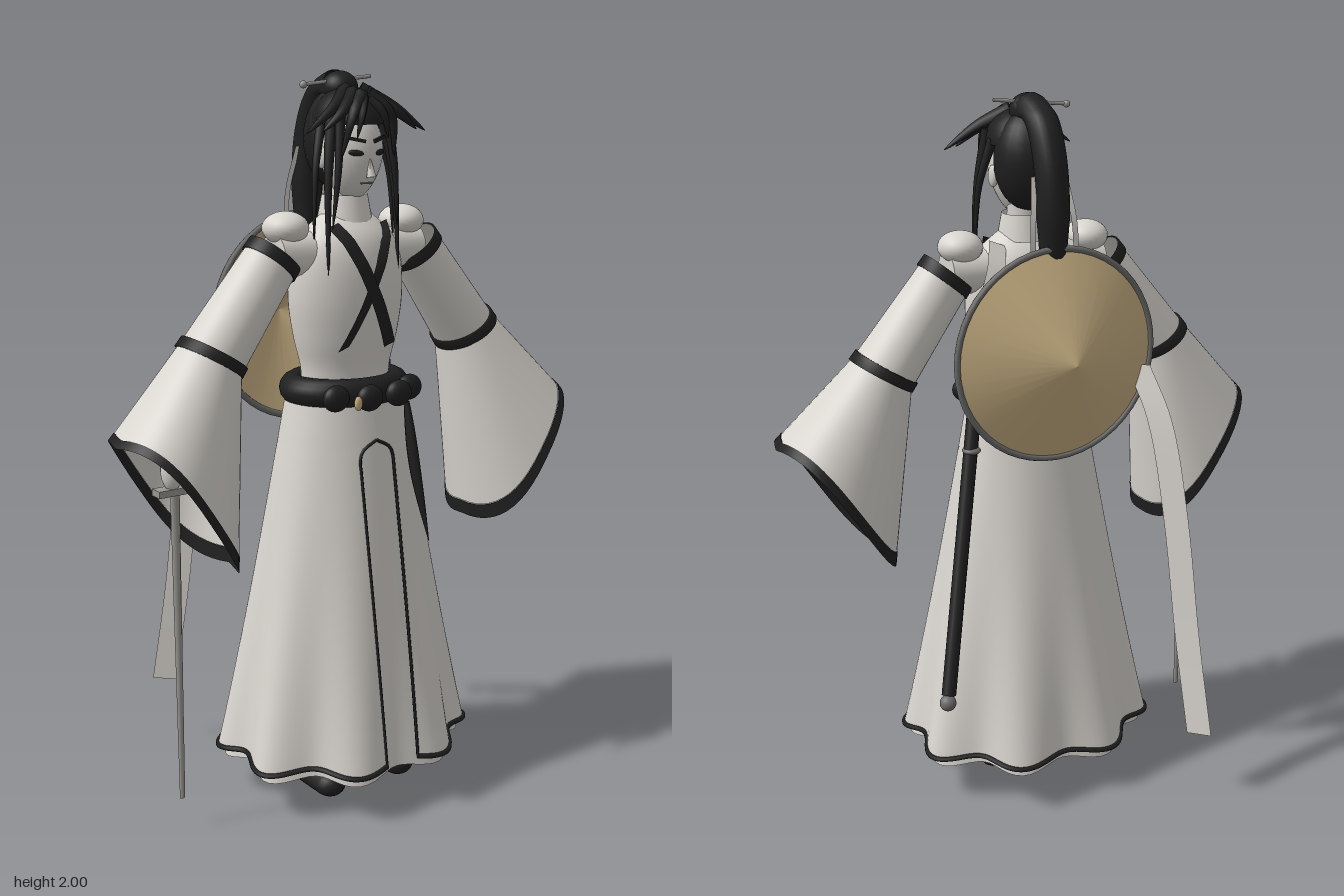
import * as THREE from 'three';

const V = (x, y, z) => new THREE.Vector3(x, y, z);
const lerp = THREE.MathUtils.lerp;
const mat = (name, color) => {
  const m = new THREE.MeshStandardMaterial({ color, side: THREE.DoubleSide });
  m.name = name;
  return m;
};

// Skin a list of equal-length rows of points
function loft(rows, closed = true) {
  const n = rows[0].length, cols = closed ? n : n - 1, idx = [];
  for (let i = 0; i < rows.length - 1; i++) for (let j = 0; j < cols; j++) {
    const a = i * n + j, b = i * n + (j + 1) % n;
    idx.push(a, a + n, b, b, a + n, b + n);
  }
  const g = new THREE.BufferGeometry().setFromPoints(rows.flat());
  g.setIndex(idx);
  g.computeVertexNormals();
  return g;
}

// Tapered strand along a smooth path; radius(t) gives its thickness
function strand(points, radius, sides = 7, steps = 18) {
  const curve = new THREE.CatmullRomCurve3(points);
  const f = curve.computeFrenetFrames(steps);
  const rows = [];
  for (let i = 0; i <= steps; i++) {
    const t = i / steps, c = curve.getPoint(t), r = radius(t);
    f.normals[i].normalize();
    rows.push(Array.from({ length: sides }, (_, k) => {
      const a = k / sides * Math.PI * 2;
      return c.clone().addScaledVector(f.normals[i], r * Math.cos(a)).addScaledVector(f.binormals[i], r * Math.sin(a));
    }));
  }
  return loft(rows);
}

// Flat band along a smooth path
function band(points, half, steps = 16) {
  return loft(new THREE.CatmullRomCurve3(points).getPoints(steps)
    .map(p => [p.clone().sub(half), p.clone().add(half)]), false);
}

export function createModel() {
  const root = new THREE.Group();
  root.name = 'robedSwordsman';
  const cloth = mat('paleCloth', 0xd9d5cf), skin = mat('paleSkin', 0xd2cec9), black = mat('black', 0x1f1f20),
    straw = mat('straw', 0xc9b184), grey = mat('rimGrey', 0x6e6d6c), metal = mat('steel', 0x9a9792);
  const add = (name, geo, material, p = [0, 0, 0], s = [1, 1, 1], r = [0, 0, 0]) => {
    const m = new THREE.Mesh(geo, material);
    m.name = name;
    m.position.set(...p); m.scale.set(...s); m.rotation.set(...r);
    root.add(m);
    return m;
  };
  const ball = new THREE.SphereGeometry(1, 24, 16);
  const rod = (name, a, b, r, material, sides = 12) => {
    const m = add(name, new THREE.CylinderGeometry(r, r, a.distanceTo(b), sides), material, a.clone().lerp(b, 0.5).toArray());
    m.quaternion.setFromUnitVectors(V(0, 1, 0), b.clone().sub(a).normalize());
  };

  // Skirt with wavy folds, open at the front
  const skirtPoint = (t, a, k = 1) => {
    const fold = 1 - 0.07 * t * t * Math.cos(8 * a);
    return V(Math.sin(a) * lerp(0.17, 0.355, t) * fold * k, lerp(1.16, 0.14, t) + 0.008 * t * t * Math.cos(8 * a),
      0.085 + Math.cos(a) * lerp(0.13, 0.295, t) * fold * k);
  };
  const gap = t => t < 0.13 ? 0 : Math.asin(0.055 * Math.min(1, Math.sqrt((t - 0.13) / 0.03)) / lerp(0.17, 0.355, t));
  const skirtRow = t => Array.from({ length: 129 }, (_, j) => skirtPoint(t, lerp(gap(t), Math.PI * 2 - gap(t), j / 128)));
  const skirtSteps = Array.from({ length: 41 }, (_, i) => i / 40);
  add('skirt', loft(skirtSteps.map(skirtRow), false), cloth);
  add('skirtHem', new THREE.TubeGeometry(new THREE.CatmullRomCurve3(skirtRow(1)), 200, 0.008, 6), black);
  for (const s of [1, -1]) {
    const edge = skirtSteps.filter(t => t > 0.12).map(t => skirtPoint(t, s * gap(t)));
    add('skirtOpeningTrim', new THREE.TubeGeometry(new THREE.CatmullRomCurve3(edge), 60, 0.0045, 5), black);
  }
  add('innerSkirt', loft([0, 0.3, 0.6, 0.85, 1.03].map(t =>
    Array.from({ length: 96 }, (_, j) => skirtPoint(t, j / 48 * Math.PI, 0.93)))), cloth);

  // Torso
  const profile = [[0.13, 1.14], [0.135, 1.22], [0.155, 1.3], [0.17, 1.4], [0.166, 1.5], [0.14, 1.57], [0.085, 1.62], [0.055, 1.64]];
  const torsoCurve = new THREE.SplineCurve(profile.map(p => new THREE.Vector2(...p)));
  add('torso', new THREE.LatheGeometry(torsoCurve.getPoints(32), 40), cloth, [0, 0, 0.09], [1, 1, 0.7]);
  add('neck', new THREE.CylinderGeometry(0.045, 0.05, 0.14, 20), skin, [0, 1.67, 0.085]);
  add('neckCollar', new THREE.CylinderGeometry(0.062, 0.075, 0.07, 24, 1, true), cloth, [0, 1.645, 0.085]);

  // Crossed collar bands lying on the chest
  const torsoR = y => {
    const i = Math.max(1, profile.findIndex(p => p[1] >= y));
    const [a, b] = [profile[i - 1], profile[i]];
    return lerp(a[0], b[0], (y - a[1]) / (b[1] - a[1]));
  };
  for (const s of [1, -1]) {
    const pts = Array.from({ length: 10 }, (_, i) => {
      const y = lerp(1.605, 1.28, i / 9), x = s * lerp(-0.08, 0.075, i / 9);
      return V(x, y, 0.097 + (s > 0 ? 0.003 : 0) + 0.7 * Math.sqrt(Math.max(0, torsoR(y) ** 2 - x * x)));
    });
    add('collarBand', band(pts, V(0.018, 0.006, 0)), black);
  }

  // Belt, knots and hanging ties
  add('belt', new THREE.TorusGeometry(0.15, 0.04, 14, 48), black, [0, 1.16, 0.085], [1, 0.8, 1], [Math.PI / 2, 0, 0]);
  for (const x of [-0.12, -0.04, 0.06, 0.13])
    add('beltKnot', ball, black, [x, 1.158, 0.085 + Math.sqrt(0.032 - x * x)], [0.04, 0.036, 0.025]);
  add('beltOrnament', ball, straw, [-0.085, 1.15, 0.27], [0.012, 0.02, 0.008]);
  add('beltTie', strand([V(0.09, 1.13, 0.25), V(0.095, 0.95, 0.285), V(0.115, 0.75, 0.325)], t => 0.015 * Math.sin(Math.PI * (0.15 + 0.85 * t)) + 0.001), black);

  // Legs and shoes, arms and sleeves
  const ring = (c, u, rz, k = 1, sag = 0, s = 1, power = 1) => Array.from({ length: 48 }, (_, i) => {
    const a = i / 24 * Math.PI, sq = v => Math.sign(v) * Math.abs(v) ** power;
    const p = sq(Math.cos(a)) * k, q = sq(Math.sin(a)) * k, d = -sag * p * Math.abs(q);
    return V(s * (c[0] + u[0] * p + 0.74 * d), c[1] + u[1] * p - 0.66 * d, c[2] + rz * q);
  });
  const mix = (A, B, t) => A.map((p, i) => p.clone().lerp(B[i], t));
  const grow = (R, k) => {
    const c = R.reduce((a, p) => a.add(p), V(0, 0, 0)).divideScalar(R.length);
    return R.map(p => p.clone().sub(c).multiplyScalar(k).add(c));
  };
  for (const s of [1, -1]) {
    const side = s > 0 ? 'left' : 'right';
    add(side + 'Leg', new THREE.CylinderGeometry(0.055, 0.04, 0.6, 16), black, [s * 0.12, 0.41, 0.08]);
    add(side + 'Sock', new THREE.CylinderGeometry(0.044, 0.044, 0.07, 16), cloth, [s * 0.12, 0.085, 0.085]);
    add(side + 'Shoe', new THREE.CapsuleGeometry(0.045, 0.13, 6, 16), black, [s * 0.12, 0.036, 0.125], [1, 1, 0.8], [Math.PI / 2, 0, 0]);
    add(side + 'ShoulderPad', ball, cloth, [s * 0.19, 1.6, 0.085], [0.062, 0.044, 0.065]);
    rod(side + 'Shoulder', V(s * 0.1, 1.53, 0.088), V(s * 0.23, 1.53, 0.088), 0.06, cloth, 20);

    const S = ring([0.225, 1.535, 0.088], [0.058, 0.048], 0.07, 1, 0, s);
    const E = ring([0.425, 1.275, 0.085], [0.076, 0.047], 0.095, 1, 0, s);
    const H = ring([0.56, 0.91, 0.12], [0.16, 0.178], 0.185, 1, 0.04, s, 0.8);
    add(side + 'UpperSleeve', loft([S, mix(S, E, 0.5), E]), cloth);
    for (const [a, b] of [[0, 0.1], [0.93, 1.02]])
      add(side + 'SleeveBand', loft([mix(S, E, a), grow(mix(S, E, a), 1.07), grow(mix(S, E, b), 1.07), mix(S, E, b)]), black);
    add(side + 'WideSleeve', loft([0, 0.25, 0.5, 0.75, 0.92].map(t => mix(E, H, t))), cloth);
    add(side + 'SleeveHem', loft([0.92, 0.96, 1].map(t => grow(mix(E, H, t), 1.008))), black);
    rod(side + 'Forearm', V(s * 0.42, 1.28, 0.09), V(s * 0.555, 1.05, 0.115), 0.03, skin);
    add(side + 'Hand', ball, skin, [s * 0.565, 1.01, 0.12], [0.028, 0.055, 0.032]);
    // Hat straps over the shoulders
    add(side + 'HatStrap', band([V(s * 0.1, 1.61, 0.04), V(s * 0.14, 1.56, -0.04), V(s * 0.2, 1.48, -0.115)], V(0.025, 0.01, 0)), cloth);
  }

  // Drawn sword in the right hand
  rod('swordGrip', V(-0.565, 0.95, 0.12), V(-0.565, 1.1, 0.12), 0.014, black);
  add('swordGuard', new THREE.BoxGeometry(0.085, 0.018, 0.04), metal, [-0.57, 0.955, 0.12]);
  add('swordBlade', new THREE.CylinderGeometry(0.014, 0.008, 0.86, 4), metal, [-0.557, 0.52, 0.12], [1, 1, 0.5]);

  // Scabbard at the left hip
  rod('scabbard', V(0.17, 1.2, 0.04), V(0.365, 0.42, -0.195), 0.02, black);
  add('scabbardCap', ball, grey, [0.37, 0.4, -0.2], [0.023, 0.023, 0.023]);
  add('scabbardCollar', ball, grey, [0.205, 1.05, -0.005], [0.026, 0.012, 0.026]);

  // Conical hat carried on the back
  add('strawHat', new THREE.ConeGeometry(0.29, 0.125, 36, 1, true), straw, [0, 1.325, -0.18], [1, 1, 1], [-Math.PI / 2, 0, 0]);
  add('hatRim', new THREE.TorusGeometry(0.29, 0.009, 8, 48), grey, [0, 1.325, -0.118]);

  // Long trailing ribbon
  add('trailingRibbon', band([V(-0.25, 1.27, -0.12), V(-0.285, 1.12, -0.19), V(-0.31, 0.85, -0.25), V(-0.325, 0.5, -0.31),
    V(-0.34, 0.21, -0.37)], V(0.026, 0, 0.024), 24), cloth);

  // Head, narrowing to the chin
  const head = new THREE.SphereGeometry(1, 32, 24), hp = head.attributes.position;
  for (let i = 0; i < hp.count; i++) {
    const y = hp.getY(i);
    if (y < 0) hp.setX(i, hp.getX(i) * (1 + 0.25 * y));
  }
  head.computeVertexNormals();
  add('face', head, skin, [0, 1.79, 0.11], [0.086, 0.125, 0.09]);
  add('nose', new THREE.ConeGeometry(0.013, 0.06, 4), skin, [0, 1.76, 0.2], [1, 1, 1], [-0.15, Math.PI / 4, 0]);
  add('mouth', new THREE.BoxGeometry(0.035, 0.004, 0.006), grey, [0, 1.714, 0.183]);
  for (const s of [1, -1]) {
    add('eyebrow', new THREE.BoxGeometry(0.05, 0.009, 0.008), black, [s * 0.037, 1.827, 0.189], [1, 1, 1], [0, s * 0.4, s * 0.2]);
    add('eye', ball, black, [s * 0.038, 1.793, 0.189], [0.021, 0.008, 0.005], [0, s * 0.4, s * 0.1]);
    add('ear', ball, skin, [s * 0.085, 1.78, 0.1], [0.012, 0.03, 0.02]);
  }

  // Hair: skull, crown, topknot and pin
  add('backHair', ball, black, [0, 1.825, 0.055], [0.096, 0.135, 0.09]);
  add('crownHair', new THREE.SphereGeometry(1, 28, 10, 0, Math.PI * 2, 0, Math.PI / 2), black, [0, 1.865, 0.1], [0.096, 0.095, 0.112]);
  add('topknot', ball, black, [0, 1.955, 0.06], [0.05, 0.045, 0.05]);
  rod('hairpin', V(-0.115, 1.965, 0.06), V(0.1, 1.985, 0.06), 0.005, metal, 8);
  add('hairpinTip', ball, metal, [-0.115, 1.965, 0.06], [0.01, 0.01, 0.01]);
  add('ponytail', strand([V(0, 1.96, 0.05), V(0, 1.94, -0.02), V(0, 1.84, -0.075), V(0, 1.65, -0.095), V(0, 1.4, -0.08), V(0, 1.08, -0.1)],
    t => t < 0.55 ? 0.045 : lerp(0.045, 0.004, (t - 0.55) / 0.45), 14, 36), black);

  // Fringe spikes and long side locks
  const locks = [
    [[0.02, 1.95, 0.12], [0.1, 1.905, 0.17], [0.19, 1.845, 0.185], 0.022],
    [[0.02, 1.945, 0.15], [0.09, 1.895, 0.195], [0.15, 1.85, 0.2], 0.02],
    [[0.01, 1.94, 0.17], [0.06, 1.89, 0.205], [0.085, 1.78, 0.19], 0.02],
    [[0.01, 1.93, 0.18], [0.035, 1.89, 0.21], [0.05, 1.83, 0.21], 0.015],
    [[0.08, 1.9, 0.14], [0.105, 1.74, 0.16], [0.115, 1.47, 0.175], 0.017],
    [[0.085, 1.88, 0.1], [0.118, 1.75, 0.12], [0.13, 1.56, 0.13], 0.013],
    [[0.075, 1.89, 0.17], [0.092, 1.74, 0.185], [0.105, 1.6, 0.18], 0.013],
  ];
  for (const s of [1, -1]) {
    for (const [a, b, c, r] of locks)
      add('hairLock', strand([a, b, c].map(p => V(s * p[0], p[1], p[2])), t => r * (1 - t) ** 0.7 + 0.001, 6, 12), black);
    add('hairRibbon', band([V(s * 0.045, 1.8, -0.07), V(s * 0.06, 1.68, -0.1), V(s * 0.065, 1.55, -0.105)], V(0.008, 0, 0)), cloth);
  }
  return root;
}
